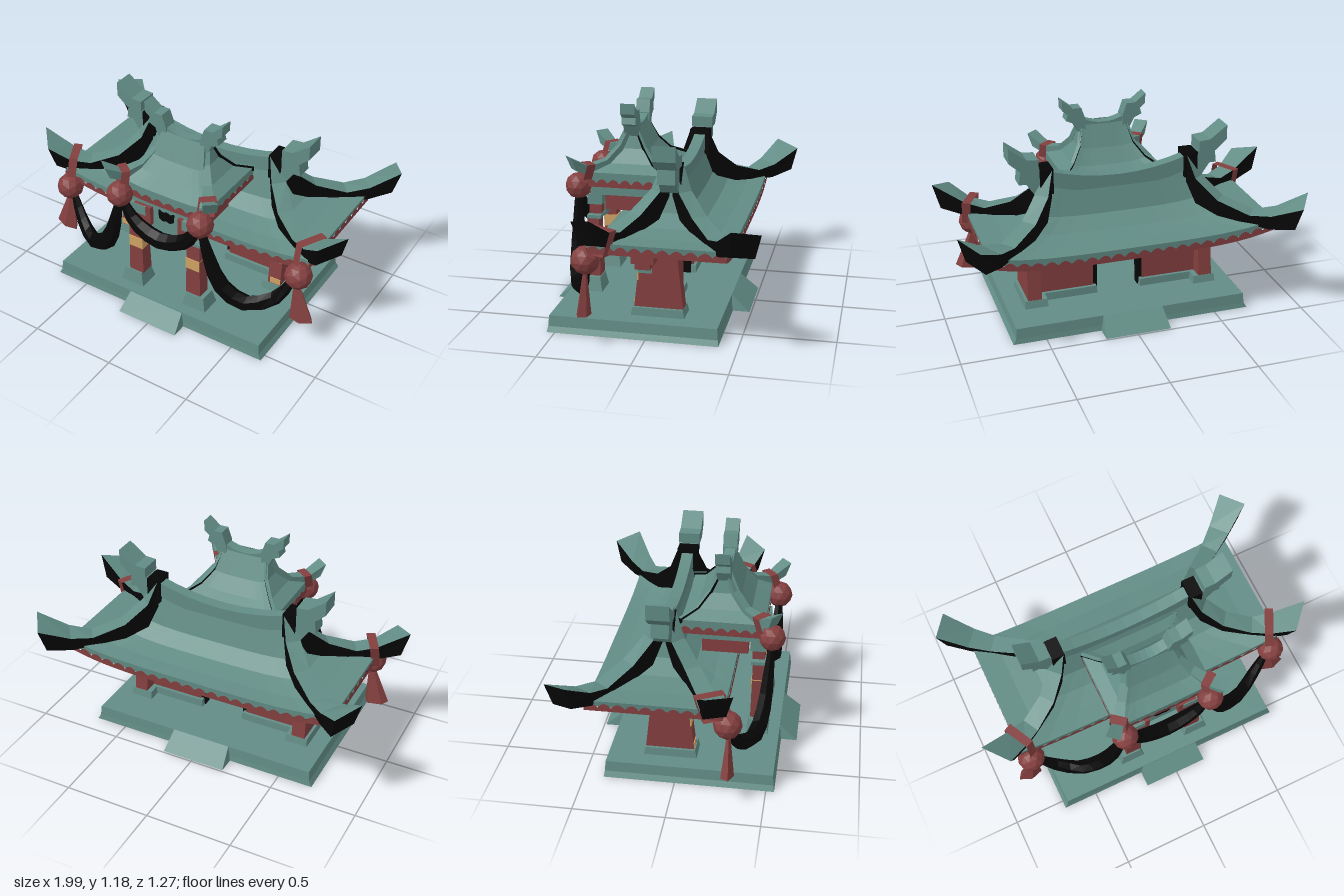
import * as THREE from 'three';

const mat = (name, color) => new THREE.MeshStandardMaterial({ name, color, side: THREE.DoubleSide });

export function createModel() {
  const teal = mat('teal tile', 0x628c85), red = mat('red wood', 0x843f3f);
  const black = mat('black lacquer', 0x060606), tan = mat('tan trim', 0xcfa262);
  const root = new THREE.Group();
  root.name = 'templeGate';
  const model = new THREE.Group();
  model.name = 'building';
  model.position.x = -0.006;
  root.add(model);

  const add = (name, geo, m) => {
    const mesh = new THREE.Mesh(geo, m);
    mesh.name = name;
    model.add(mesh);
    return mesh;
  };
  const flat = geo => {
    const g = geo.index ? geo.toNonIndexed() : geo;
    g.computeVertexNormals();
    return g;
  };

  // Flat shaded surface through rows of points
  const loft = (name, rows, m) => {
    const n = rows[0].length, idx = [], g = new THREE.BufferGeometry();
    for (let i = 0; i < rows.length - 1; i++)
      for (let j = 0; j < n - 1; j++) {
        const a = i * n + j, b = a + n;
        idx.push(a, a + 1, b, b, a + 1, b + 1);
      }
    g.setAttribute('position', new THREE.Float32BufferAttribute(rows.flat(2), 3));
    g.setIndex(idx);
    return add(name, flat(g), m);
  };

  // Box from bounds, with the top scaled in x and z
  const block = (name, x0, x1, y0, y1, z0, z1, m, tx = 1, tz = tx) => {
    const g = new THREE.BoxGeometry(x1 - x0, y1 - y0, z1 - z0), p = g.attributes.position;
    for (let i = 0; i < p.count; i++)
      if (p.getY(i) > 0) p.setXYZ(i, p.getX(i) * tx, p.getY(i), p.getZ(i) * tz);
    add(name, flat(g), m).position.set((x0 + x1) / 2, (y0 + y1) / 2, (z0 + z1) / 2);
  };
  const pair = (name, x0, x1, ...rest) => {
    block(name + 'Left', x0, x1, ...rest);
    block(name + 'Right', -x1, -x0, ...rest);
  };
  const plate = (name, pts, z, depth, m) => {
    const shape = new THREE.Shape(pts.map(p => new THREE.Vector2(...p)));
    add(name, new THREE.ExtrudeGeometry(shape, { depth, bevelEnabled: false }), m).position.z = z;
  };

  // Rectangular ring whose long sides sag in the middle
  const ring = (cz, hx, hz, y, sag, nx, nz, lift = () => 0) => {
    const pts = [], c = [[hx, hz], [-hx, hz], [-hx, -hz], [hx, -hz], [hx, hz]];
    for (let s = 0; s < 4; s++) {
      const n = s % 2 ? nz : nx;
      for (let i = 0; i <= n; i++) {
        const t = i / n, u = 2 * t - 1;
        const dip = s % 2 ? 0 : sag * (1 - u ** 4);
        pts.push([c[s][0] + (c[s + 1][0] - c[s][0]) * t, y - dip + lift(i),
          cz + c[s][1] + (c[s + 1][1] - c[s][1]) * t]);
      }
    }
    return pts;
  };
  const roof = (name, cz, sections, sag) =>
    loft(name, sections.map(([hx, hz, y], i) => ring(cz, hx, hz, y, sag * (1 - i / sections.length), 10, 4)), teal);
  // Eave band with a straight lower edge and rounded humps along the top
  const scallops = (name, cz, hx, hz, y, sag, nx, nz) => loft(name, [
    ring(cz, hx, hz, y, sag, nx * 4, nz * 4),
    ring(cz, hx, hz, y, sag, nx * 4, nz * 4, i => 0.022 + 0.024 * Math.abs(Math.sin(i * Math.PI / 4))),
  ], red);

  // Hip beam: points are [x, z, top y, width, height, outward tilt, undercut, direction]
  const hip = (name, pts, sx, sideMat) => {
    const s = pts.map(([x, z, y, w, h, tilt = 0, cut = 0, dir], i) => {
      const a = pts[Math.max(i - 1, 0)], b = pts[Math.min(i + 1, pts.length - 1)];
      const [dx, dz] = dir || [b[0] - a[0], b[1] - a[1]], l = Math.hypot(dx, dz);
      const p = (k, yy, back) => [sx * (x - (k * dz * w / 2 + back * dx) / l),
        yy - k * tilt * Math.sign(dz), z + (k * dx * w / 2 - back * dz) / l];
      return [p(1, y, 0), p(-1, y, 0), p(-0.85, y - h, cut), p(0.85, y - h, cut)];
    });
    loft(name + 'Top', s.map(q => [q[0], q[1]]), teal);
    loft(name + 'Sides', s.map(q => [q[1], q[2], q[3], q[0]]), sideMat);
    for (const q of [s[0], s[s.length - 1]]) loft(name + 'End', [[q[0], q[1]], [q[3], q[2]]], sideMat);
  };

  // Ridge beam rising towards both ends
  const ridge = (name, hx, y, rise, h, z, hz) => {
    const rows = [];
    for (let i = 0; i <= 8; i++) {
      const u = i / 4 - 1, t = y + rise * u * u;
      rows.push([[u * hx, t - h, z + hz], [u * hx, t, z + hz], [u * hx, t, z - hz], [u * hx, t - h, z - hz]]);
    }
    loft(name, rows, teal);
  };

  // Hollow plinth and the wedge steps
  const P = [[0.695, 0.545, 0], [0.678, 0.54, 0.03], [0.672, 0.535, 0.09]];
  loft('plinthSides', P.map(([x, z, y]) => ring(0.075, x, z - 0.075, y, 0, 1, 1)), teal);
  loft('plinthTop', [[[-0.672, 0.09, 0.535], [0.672, 0.09, 0.535]], [[-0.672, 0.09, -0.385], [0.672, 0.09, -0.385]]], teal);
  for (const [name, z0, z1] of [['frontStep', 0.53, 0.635], ['backStep', -0.385, -0.49]]) {
    loft(name, [[[-0.19, 0, z0], [-0.175, 0.09, z0], [-0.19, 0, z1]], [[0.19, 0, z0], [0.175, 0.09, z0], [0.19, 0, z1]]], teal);
    for (const s of [-1, 1])
      loft(name + 'Side', [[[s * 0.19, 0, z0], [s * 0.19, 0, z0]], [[s * 0.175, 0.09, z0], [s * 0.19, 0, z1]]], teal);
  }

  // Rear walls with end piers, beams and bases
  pair('wallBase', 0.13, 0.5, 0.09, 0.135, -0.12, 0.0, teal, 0.98);
  pair('pierBase', 0.44, 0.575, 0.09, 0.135, -0.19, 0.105, teal, 0.94);
  pair('wall', 0.15, 0.51, 0.135, 0.42, -0.1, -0.02, red);
  pair('pier', 0.475, 0.555, 0.135, 0.42, -0.18, 0.09, red, 0.95, 0.76);
  pair('pierBand', 0.475, 0.56, 0.33, 0.37, -0.01, 0.07, teal);
  pair('pierFootTrim', 0.49, 0.554, 0.138, 0.175, 0.082, 0.09, tan);
  pair('pierHeadTrim', 0.49, 0.554, 0.285, 0.33, 0.066, 0.074, tan);
  pair('lowerBeam', 0.17, 0.62, 0.37, 0.41, -0.015, 0.07, red);
  pair('upperBeam', 0.15, 0.645, 0.41, 0.475, -0.04, 0.085, red);

  // Black arched doorway
  plate('doorArch', [[-0.155, 0.09], [-0.15, 0.32], [-0.125, 0.41], [-0.06, 0.465], [0.06, 0.465], [0.125, 0.41],
    [0.15, 0.32], [0.155, 0.09], [0.125, 0.09], [0.12, 0.3], [0.1, 0.38], [0.05, 0.43], [-0.05, 0.43], [-0.1, 0.38],
    [-0.12, 0.3], [-0.125, 0.09]], -0.09, 0.05, black);

  // Front pillars and the gate storey
  pair('pillarBase', 0.135, 0.285, 0.09, 0.17, 0.345, 0.47, teal, 0.75);
  pair('pillar', 0.145, 0.24, 0.17, 0.51, 0.365, 0.445, red, 0.85);
  pair('pillarCollar', 0.145, 0.235, 0.345, 0.415, 0.364, 0.446, tan);
  pair('pillarCap', 0.14, 0.235, 0.51, 0.53, 0.36, 0.44, teal);
  pair('bracket', 0.09, 0.2, 0.53, 0.65, 0.365, 0.435, red);
  pair('bracketBlock', 0.12, 0.22, 0.59, 0.65, 0.355, 0.44, teal);
  pair('sideBracket', 0.14, 0.2, 0.56, 0.65, 0.08, 0.34, red);
  block('signPanel', -0.13, 0.13, 0.5, 0.66, 0.36, 0.405, teal);
  block('gateBeam', -0.225, 0.225, 0.65, 0.72, 0.04, 0.415, teal);
  plate('signOrnament', [[-0.05, 0.645], [-0.025, 0.63], [0, 0.64], [0.025, 0.63], [0.05, 0.645], [0.048, 0.59],
    [0.025, 0.575], [0, 0.582], [-0.025, 0.575], [-0.048, 0.59]], 0.405, 0.008, black);

  // Main roof and gate roof
  roof('mainRoof', -0.088, [[0.81, 0.36, 0.535], [0.815, 0.362, 0.57], [0.68, 0.265, 0.565], [0.54, 0.155, 0.58],
    [0.435, 0.075, 0.635], [0.4, 0.028, 0.785]], 0.06);
  scallops('mainEaveTrim', -0.088, 0.816, 0.364, 0.512, 0.06, 22, 10);
  ridge('mainRidge', 0.42, 0.82, 0.07, 0.09, -0.09, 0.033);
  roof('gateRoof', 0.2, [[0.288, 0.228, 0.74], [0.29, 0.23, 0.795], [0.22, 0.15, 0.835], [0.165, 0.09, 0.91],
    [0.135, 0.03, 1.04]], 0.035);
  scallops('gateEaveTrim', 0.2, 0.292, 0.232, 0.714, 0.03, 8, 7);
  ridge('gateRidge', 0.14, 1.03, 0.04, 0.06, 0.195, 0.03);
  pair('ridgeEndBlock', 0.383, 0.458, 0.76, 0.907, -0.148, -0.032, black);

  // Hip beams and horned ridge ends
  for (const s of [1, -1]) {
    hip('mainFrontHip', [[0.42, -0.06, 0.905, 0.08, 0.17], [0.465, -0.01, 0.765, 0.085, 0.15], [0.56, 0.08, 0.66, 0.09, 0.095],
      [0.7, 0.165, 0.605, 0.1, 0.055], [0.8, 0.21, 0.63, 0.125, 0.085, 0.008, 0.01],
      [0.94, 0.27, 0.725, 0.17, 0.135, 0.022, 0.04, [1, 0.9]]], s, black);
    hip('mainBackHip', [[0.42, -0.12, 0.905, 0.08, 0.17], [0.46, -0.17, 0.765, 0.085, 0.15], [0.555, -0.265, 0.66, 0.09, 0.095],
      [0.7, -0.38, 0.6, 0.1, 0.055], [0.8, -0.455, 0.625, 0.125, 0.085, 0.008, 0.01],
      [0.936, -0.565, 0.715, 0.165, 0.135, 0.018, 0.04, [0.135, -0.092]]], s, black);
    hip('gateFrontHip', [[0.13, 0.21, 1.05, 0.04, 0.05], [0.165, 0.265, 0.93, 0.045, 0.06], [0.215, 0.33, 0.855, 0.05, 0.06],
      [0.275, 0.42, 0.83, 0.065, 0.05], [0.345, 0.505, 0.89, 0.085, 0.075, 0, 0.03]], s, teal);
    hip('gateBackHip', [[0.13, 0.18, 1.045, 0.02, 0.04], [0.165, 0.115, 0.92, 0.02, 0.04], [0.22, 0.055, 0.845, 0.02, 0.04],
      [0.29, -0.03, 0.805, 0.02, 0.03]], s, black);
    const flip = pts => pts.map(([x, y]) => [s * x, y]);
    plate('mainHorn', flip([[0.465, 0.97], [0.53, 0.975], [0.63, 1.05], [0.63, 0.965], [0.565, 0.908], [0.465, 0.908]]),
      -0.152, 0.124, teal);
    plate('mainHornStem', flip([[0.458, 0.908], [0.565, 0.908], [0.575, 0.83], [0.535, 0.83], [0.49, 0.765], [0.458, 0.79]]),
      -0.138, 0.096, teal);
    plate('gateHorn', flip([[0.11, 1.06], [0.135, 1.13], [0.185, 1.13], [0.248, 1.18], [0.245, 1.12], [0.215, 1.095],
      [0.225, 1.06], [0.18, 1.04], [0.15, 0.98], [0.11, 1.0]]), 0.155, 0.08, teal);
  }

  // Black drapes: tapered tubes swelling in the middle
  const drape = (name, pts) => {
    const curve = new THREE.CatmullRomCurve3(pts.map(p => new THREE.Vector3(...p)));
    const rows = [];
    for (let i = 0; i <= 10; i++) {
      const t = i / 10, p = curve.getPoint(t), d = curve.getTangent(t), l = Math.hypot(d.x, d.y);
      const r = 0.02 + 0.034 * Math.sin(Math.PI * t), row = [];
      for (let j = 0; j <= 6; j++) {
        const a = j * Math.PI / 3, k = Math.cos(a) * r;
        row.push([p.x - k * d.y / l, p.y + k * d.x / l, p.z + Math.sin(a) * r * 0.85]);
      }
      rows.push(row);
    }
    loft(name, rows, black);
  };
  drape('centreDrape', [[-0.25, 0.69, 0.475], [-0.17, 0.56, 0.475], [0, 0.49, 0.475], [0.17, 0.56, 0.475], [0.25, 0.69, 0.475]]);

  // Red balls, flat straps leaning over the hips, and tassels
  const ball = (name, r, x, y, z) => add(name, flat(new THREE.IcosahedronGeometry(r, 1)), red).position.set(x, y, z);
  const strap = (name, s, [x, y, z], [dx, dz], w, h, band, lean) => {
    const row = e => [[-1, -1], [-1, 1], [1, 1], [1, -1], [-1, -1]].map(([a, b]) =>
      [s * (x + a * dz * w / 2 + e * dx * band / 2), y + b * h / 2, z - a * dx * w / 2 + e * dz * band / 2 - b * lean]);
    loft(name, [row(-1), row(1)], red);
  };
  for (const s of [1, -1]) {
    drape('sideDrape', [[0.74, 0.42, 0.3], [0.66, 0.285, 0.34], [0.52, 0.235, 0.415], [0.385, 0.32, 0.45], [0.31, 0.5, 0.465],
      [0.265, 0.69, 0.475]].map(([x, y, z]) => [s * x, y, z]));
    ball('cornerBall', 0.078, s * 0.768, 0.46, 0.295);
    ball('gateBall', 0.075, s * 0.262, 0.71, 0.475);
    strap('cornerStrap', s, [0.787, 0.575, 0.22], [0.89, 0.46], 0.16, 0.14, 0.05, 0.02);
    strap('gateStrap', s, [0.272, 0.8, 0.425], [0.62, 0.78], 0.09, 0.085, 0.05, 0.012);
    const m = add('tassel', flat(new THREE.CylinderGeometry(0.018, 0.075, 0.24, 5)), red);
    m.position.set(s * 0.785, 0.285, 0.3);
    m.rotation.z = s * 0.18;
    m.scale.z = 0.5;
  }
  return root;
}
